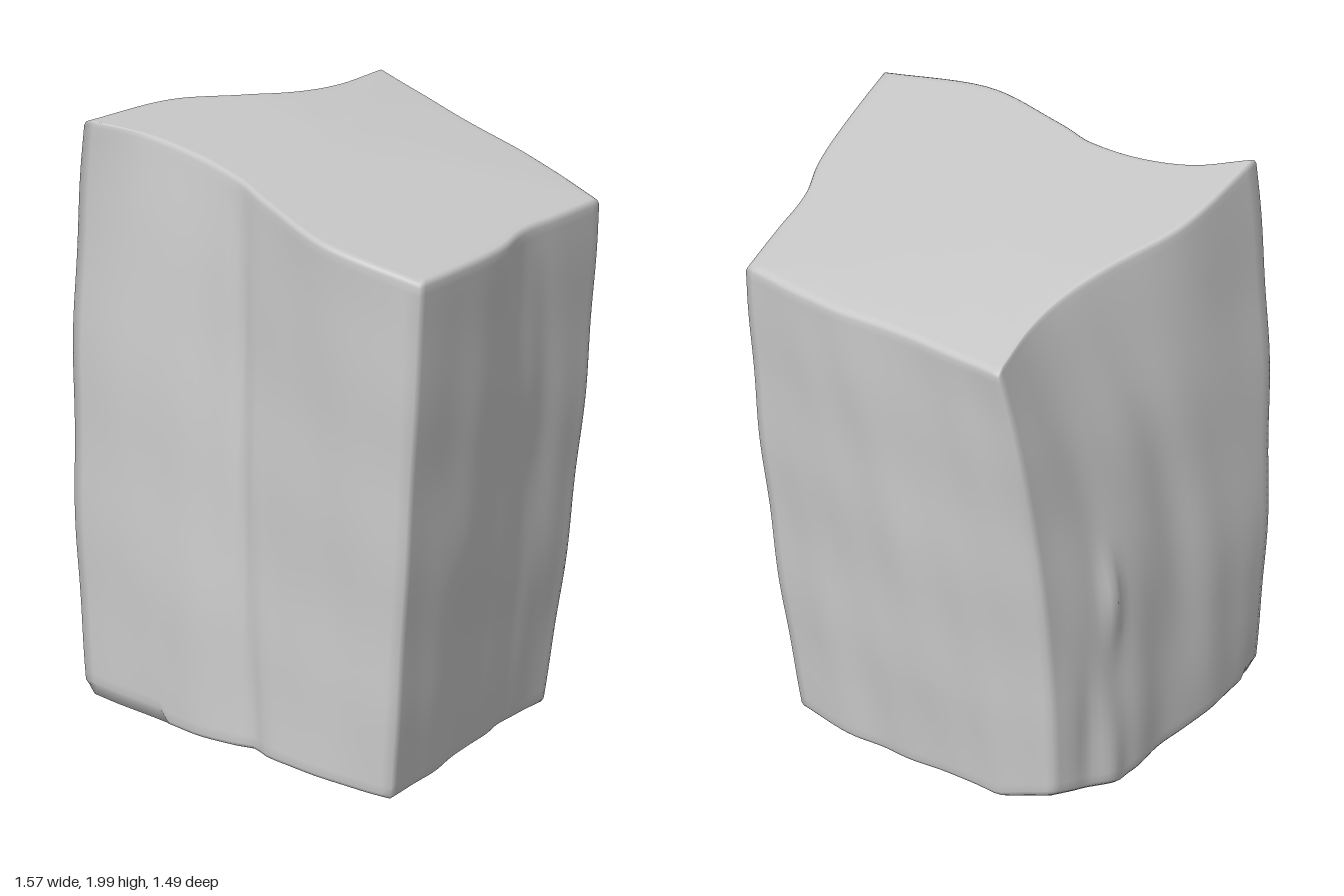
import * as THREE from 'three';

// Plan outlines (x, z) at base, middle and top; each row is one side, starting at its corner.
// Sides in order: front, right-hand end, back, left-hand end.
const SECTIONS = [
  [
    [[-0.745, 0.26], [-0.5, 0.37], [-0.3, 0.455], [-0.06, 0.53], [0.18, 0.62]],
    [[0.42, 0.67], [0.47, 0.46], [0.5, 0.25], [0.53, 0.08], [0.56, -0.06]],
    [[0.61, -0.2], [0.44, -0.31], [0.25, -0.4], [0.05, -0.49], [-0.12, -0.56]],
    [[-0.28, -0.63], [-0.4, -0.47], [-0.48, -0.33], [-0.57, -0.13], [-0.67, 0.05]],
  ],
  [
    [[-0.79, 0.25], [-0.56, 0.33], [-0.28, 0.42], [-0.08, 0.5], [0.2, 0.63]],
    [[0.485, 0.71], [0.55, 0.48], [0.6, 0.26], [0.63, 0.08], [0.67, -0.06]],
    [[0.72, -0.22], [0.55, -0.32], [0.36, -0.43], [0.15, -0.53], [-0.05, -0.61]],
    [[-0.245, -0.69], [-0.36, -0.48], [-0.455, -0.31], [-0.55, -0.13], [-0.67, 0.05]],
  ],
  [
    [[-0.74, 0.29], [-0.54, 0.265], [-0.26, 0.345], [-0.06, 0.49], [0.19, 0.66]],
    [[0.54, 0.735], [0.61, 0.5], [0.66, 0.28], [0.67, 0.12], [0.72, -0.04]],
    [[0.78, -0.24], [0.63, -0.34], [0.48, -0.43], [0.26, -0.535], [0.05, -0.65]],
    [[-0.13, -0.75], [-0.19, -0.54], [-0.26, -0.4], [-0.4, -0.23], [-0.58, -0.04]],
  ],
];
const SEG = 36; // steps along each side
const ROWS = 64; // steps up the walls
const COUNT = SEG * 4;

// Smooth curve along each side, sharp at the four corners
const outlines = SECTIONS.map((sides) => sides.flatMap((side, s) => {
  const pts = [...side, sides[(s + 1) % 4][0]].map(([x, z]) => new THREE.Vector3(x, 0, z));
  return new THREE.CatmullRomCurve3(pts, false, 'centripetal').getPoints(SEG).slice(0, SEG);
}));

const gauss = (d, w) => Math.exp(-(d * d) / (w * w));

// Sloping top, dropping a little more towards the back corner
const topHeight = (x, z) => 1.872 - 0.155 * x + 0.044 * z + 0.05 * Math.min(0, z + 0.25);

// Nearly level underside, lowest at the right, bevelled under the back corner
function floorHeight(x, z) {
  const bevel = Math.max(0, -0.4 * x - 0.92 * z - 0.54);
  return 0.02 - 0.018 * gauss(x - 0.5, 0.35) + 0.6 * bevel;
}

// Weathering: upright furrows, a knob and a spur, fading at the corners and the top rim
function relief(side, t, v) {
  const amount = [0.004, 0.003, 0.004, 0.004][side];
  let d = amount * (
    Math.sin(t * 21 + side * 2 + 0.8 * Math.sin(v * 4 + side))
    + 0.6 * Math.sin(t * 9 - v * 9 + side * 3)
    + 0.4 * Math.sin(t * 34 + v * 6));
  if (side === 0) d -= 0.022 * gauss(t - 0.56 + 0.08 * v, 0.035); // front furrow
  if (side === 3) {
    d += 0.035 * gauss(t - 0.27, 0.04) * gauss(v - 0.38, 0.09); // knob
    d -= 0.02 * gauss(t - 0.15, 0.04) * gauss(v - 0.12, 0.15); // groove beside the spur
    d += 0.025 * gauss(t - 0.25, 0.07) * gauss(v, 0.15); // spur at the foot
  }
  return d * Math.sqrt(Math.sin(Math.PI * t)) * (1 - 0.8 * v ** 6);
}

// Undercut chip below the front left corner
const isChip = (i) => i < SEG * 0.26 || i > COUNT - 3;

// Point on the wall at perimeter step i and height fraction v
function wallPoint(i, v) {
  const w = [(v - 0.5) * (v - 1) * 2, 4 * v * (1 - v), 2 * v * (v - 0.5)];
  const p = new THREE.Vector3();
  outlines.forEach((o, k) => p.addScaledVector(o[i], w[k]));
  const side = Math.floor(i / SEG);
  const a = outlines[1][side * SEG];
  const b = outlines[1][((side + 1) % 4) * SEG];
  const out = new THREE.Vector3(a.z - b.z, 0, b.x - a.x).normalize();
  if (out.dot(p) < 0) out.negate();
  p.addScaledVector(out, relief(side, (i % SEG) / SEG, v));
  // gentle lumps that also carry round the corners
  const lump = Math.sin(v * 19 + (i / COUNT) * Math.PI * 4 + 2.46);
  p.multiplyScalar(1 + 0.004 * lump * (1 - v ** 6) * Math.min(1, v * 5));
  const low = floorHeight(p.x, p.z) + (isChip(i) ? 0.05 : 0.018);
  p.y = low + v * (topHeight(p.x, p.z) - 0.018 - low);
  return p;
}

function stoneGeometry() {
  const rings = [];
  const ring = (fn) => rings.push(Array.from({ length: COUNT }, (_, i) => fn(i)));
  const cap = (v, scale, height) => ring((i) => {
    const p = wallPoint(i, v);
    p.x *= scale;
    p.z *= scale;
    p.y = height(p.x, p.z, i);
    return p;
  });

  // underside, walls, sloping top
  for (const s of [0, 0.35, 0.7, 0.93, 0.965]) cap(0, s, floorHeight);
  cap(0, 0.988, (x, z, i) => floorHeight(x, z) + (isChip(i) ? 0.035 : 0.006));
  for (let r = 0; r <= ROWS; r++) ring((i) => wallPoint(i, r / ROWS));
  cap(1, 0.993, (x, z) => topHeight(x, z) - 0.005);
  for (const s of [0.98, 0.95, 0.7, 0.35, 0]) cap(1, s, topHeight);

  const index = [];
  for (let r = 0; r < rings.length - 1; r++) {
    for (let i = 0; i < COUNT; i++) {
      const a = r * COUNT + i;
      const b = r * COUNT + (i + 1) % COUNT;
      index.push(a, b, b + COUNT, a, b + COUNT, a + COUNT);
    }
  }
  const geometry = new THREE.BufferGeometry().setFromPoints(rings.flat());
  geometry.setIndex(index);
  geometry.computeVertexNormals();
  return geometry;
}

export function createModel() {
  const group = new THREE.Group();
  group.name = 'stoneBlock';
  const stone = new THREE.Mesh(
    stoneGeometry(),
    new THREE.MeshStandardMaterial({ color: 0xcccccc }),
  );
  stone.name = 'stone';
  group.add(stone);
  return group;
}
